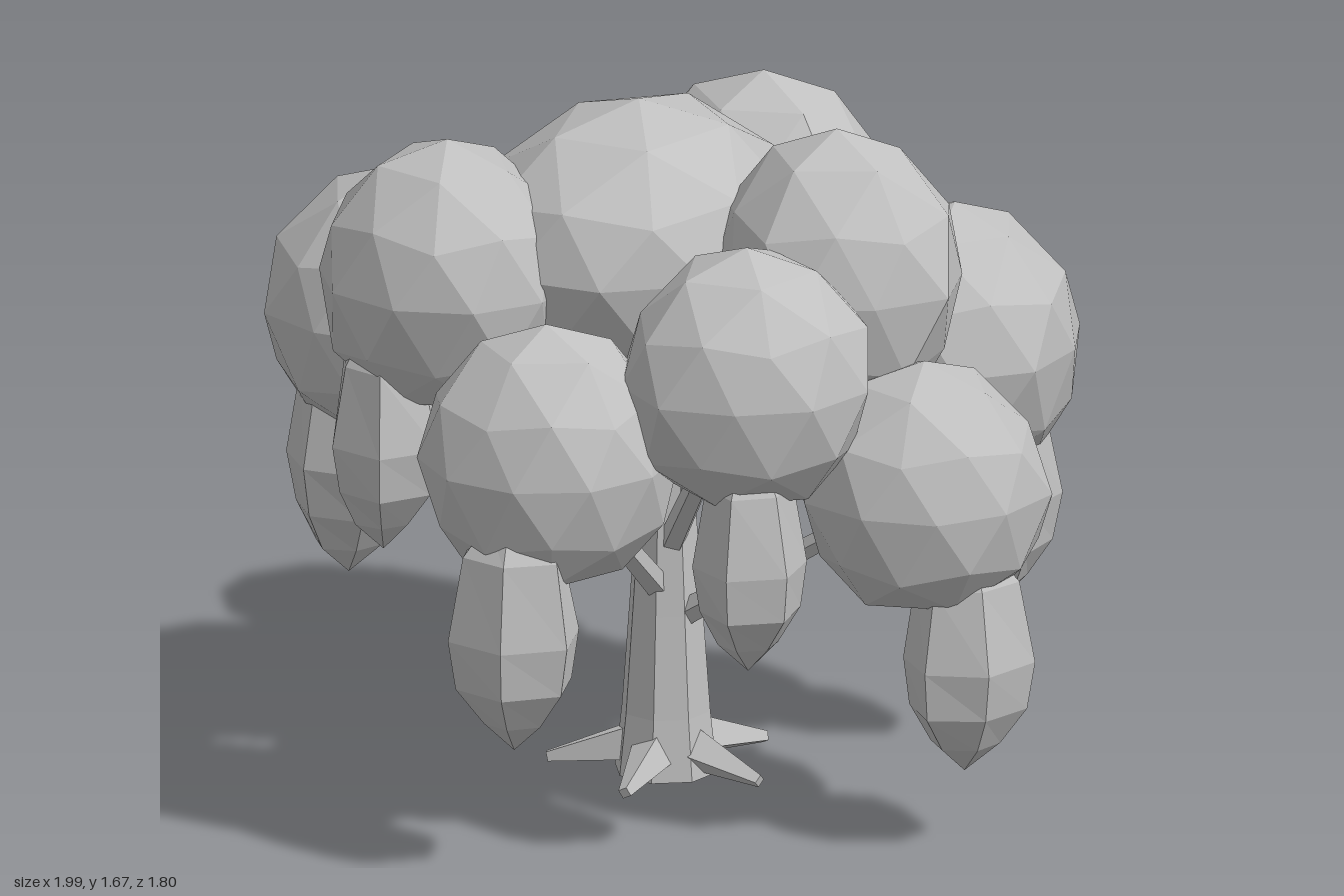
import * as THREE from 'three';

const grey = new THREE.MeshStandardMaterial({ color: 0xc0c0c0, flatShading: true });
grey.name = 'plain grey';

const TRUNK_X = -0.08, TRUNK_Z = -0.09;

// leaf masses: centre x, y (widest level), z, then radii x, y (upper half), z
const CLUMPS = [
  [-0.62, 0.90, -0.61, 0.28, 0.31, 0.285],
  [-0.215, 1.20, -0.63, 0.33, 0.36, 0.29],
  [0.39, 1.03, -0.59, 0.295, 0.34, 0.305],
  [-0.13, 1.32, -0.05, 0.38, 0.34, 0.44],
  [0.40, 1.32, -0.13, 0.31, 0.355, 0.30],
  [0.71, 0.87, -0.07, 0.295, 0.31, 0.30],
  [0.455, 1.18, 0.28, 0.30, 0.32, 0.31],
  [0.095, 0.99, 0.585, 0.30, 0.325, 0.30],
  [-0.38, 1.28, 0.36, 0.31, 0.335, 0.295],
  [-0.70, 1.10, 0.165, 0.30, 0.33, 0.32],
];

// hanging leaves: x, tip y, z, top y, radius
const DROPS = [
  [-0.77, 0.43, 0.24, 1.00, 0.16],
  [-0.70, 0.25, -0.67, 0.83, 0.16],
  [-0.46, 0.62, 0.50, 1.16, 0.145],
  [0.13, 0.31, 0.75, 0.88, 0.165],
  [0.53, 0.49, 0.37, 1.02, 0.145],
  [0.46, 0.37, -0.66, 0.92, 0.155],
  [0.83, 0.19, -0.07, 0.74, 0.16],
  [-0.17, 0.52, -0.65, 1.07, 0.15],
];

// smooth seeded wobble applied radially, so shared corners stay together
function wobble(geo, seed, amount) {
  const p = geo.attributes.position;
  for (let i = 0; i < p.count; i++) {
    const x = p.getX(i), y = p.getY(i), z = p.getZ(i);
    const k = 1 + amount * Math.sin(4 * x + seed * 2.1) * Math.cos(4 * z - seed * 1.3 + 2 * y);
    p.setXYZ(i, x * k, y, z * k);
  }
  return geo;
}

function add(parent, name, geo) {
  geo.computeVertexNormals();
  const mesh = new THREE.Mesh(geo, grey);
  mesh.name = name;
  parent.add(mesh);
  return mesh;
}

// tapered faceted rod between two points
function rod(parent, name, from, to, r0, r1, sides) {
  const dir = to.clone().sub(from);
  const mesh = add(parent, name, new THREE.CylinderGeometry(r1, r0, dir.length(), sides));
  mesh.position.copy(from).addScaledVector(dir, 0.5);
  mesh.quaternion.setFromUnitVectors(new THREE.Vector3(0, 1, 0), dir.normalize());
}

// faceted dome: slightly pointed crown, broad flat underside
function clumpGeometry([, , , rx, ry, rz], seed) {
  const geo = new THREE.IcosahedronGeometry(1, 1);
  geo.rotateZ(-Math.atan(2 / (1 + Math.sqrt(5))));
  geo.rotateY(seed * 1.7);
  wobble(geo, seed, 0.06);
  const p = geo.attributes.position;
  for (let i = 0; i < p.count; i++) {
    const y = p.getY(i);
    const spread = 1.01 + 0.5 * Math.max(0, -y - 0.5);
    const height = y > 0 ? y * (0.82 + 0.18 * y) : Math.max(y, -0.82);
    p.setXYZ(i, p.getX(i) * rx * spread, height * ry, p.getZ(i) * rz * spread);
  }
  return geo;
}

// six-sided pendant with a short point at the bottom
function dropGeometry([, tip, , top, r], seed) {
  const h = top - tip;
  const profile = [[0, 0], [0.5, 0.13], [0.88, 0.29], [1, 0.5], [0.75, 0.86], [0.4, 1], [0, 1]]
    .map(([a, b]) => new THREE.Vector2(a, b));
  const geo = new THREE.LatheGeometry(profile, 6, seed * 0.9).toNonIndexed();
  return wobble(geo, seed, 0.1).scale(r, h, r);
}

export function createModel() {
  const tree = new THREE.Group();
  tree.name = 'tree';

  // trunk
  const profile = [[0, 0], [0.125, 0], [0.108, 0.15], [0.09, 0.4], [0.068, 0.72], [0.04, 1.05], [0, 1.05]]
    .map(([r, y]) => new THREE.Vector2(r, y));
  const trunk = add(tree, 'trunk', new THREE.LatheGeometry(profile, 8, Math.PI / 8).toNonIndexed());
  trunk.position.set(TRUNK_X, 0, TRUNK_Z);

  // roots
  const roots = new THREE.Group();
  roots.name = 'roots';
  for (let i = 0; i < 5; i++) {
    const a = i * Math.PI * 2 / 5;
    const at = (r, y) => new THREE.Vector3(TRUNK_X + r * Math.cos(a), y, TRUNK_Z + r * Math.sin(a));
    rod(roots, 'root', at(0.06, 0.07), at(0.28, 0.025), 0.06, 0.016, 4);
  }
  tree.add(roots);

  // branches, one into each leaf mass
  const branches = new THREE.Group();
  branches.name = 'branches';
  CLUMPS.forEach(([x, y, z]) => {
    const start = new THREE.Vector3(TRUNK_X, 0.36 + (y - 0.87) * 0.55, TRUNK_Z);
    rod(branches, 'branch', start, new THREE.Vector3(x, y, z), 0.034, 0.02, 5);
  });
  tree.add(branches);

  // leaf masses
  const crown = new THREE.Group();
  crown.name = 'crown';
  CLUMPS.forEach((c, i) => {
    add(crown, 'leafMass', clumpGeometry(c, i + 1)).position.set(c[0], c[1], c[2]);
  });
  tree.add(crown);

  // hanging leaves
  const hanging = new THREE.Group();
  hanging.name = 'hangingLeaves';
  DROPS.forEach((d, i) => {
    add(hanging, 'hangingLeaf', dropGeometry(d, i + 1)).position.set(d[0], d[1], d[2]);
  });
  tree.add(hanging);

  return tree;
}
